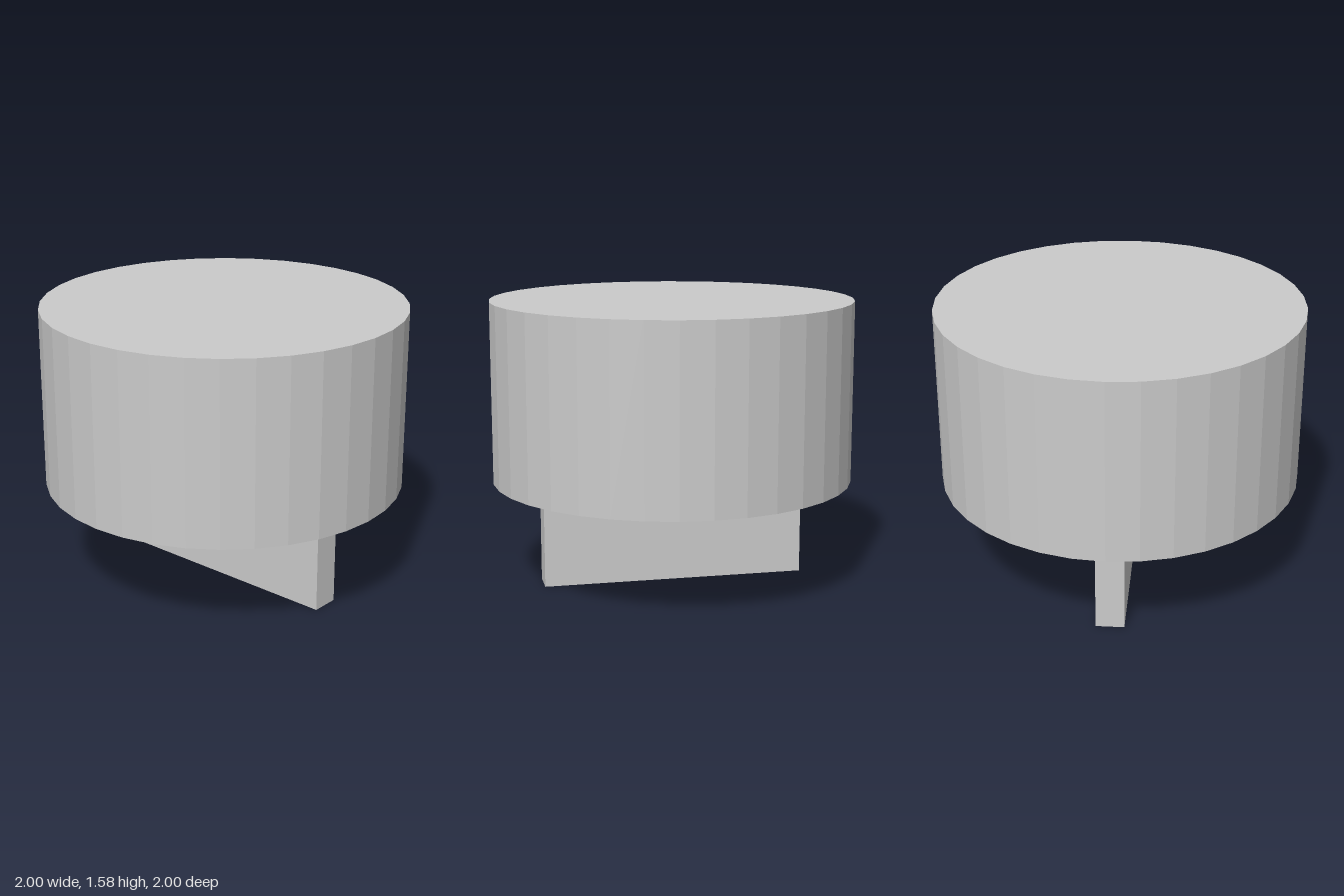
import * as THREE from 'three';

export function createModel() {
  const group = new THREE.Group();
  const material = new THREE.MeshStandardMaterial({ color: 0xcccccc, flatShading: true });

  const add = (name, geometry, y) => {
    const mesh = new THREE.Mesh(geometry, material);
    mesh.name = name;
    mesh.position.y = y;
    group.add(mesh);
  };

  const bladeHeight = 0.58;
  const drumHeight = 1;

  // Faceted round drum resting on the blade
  add('drum', new THREE.CylinderGeometry(1, 1, drumHeight, 36), bladeHeight + drumHeight / 2);

  // Thin upright blade below the drum
  add('blade', new THREE.BoxGeometry(1.47, bladeHeight, 0.156), bladeHeight / 2);

  return group;
}
